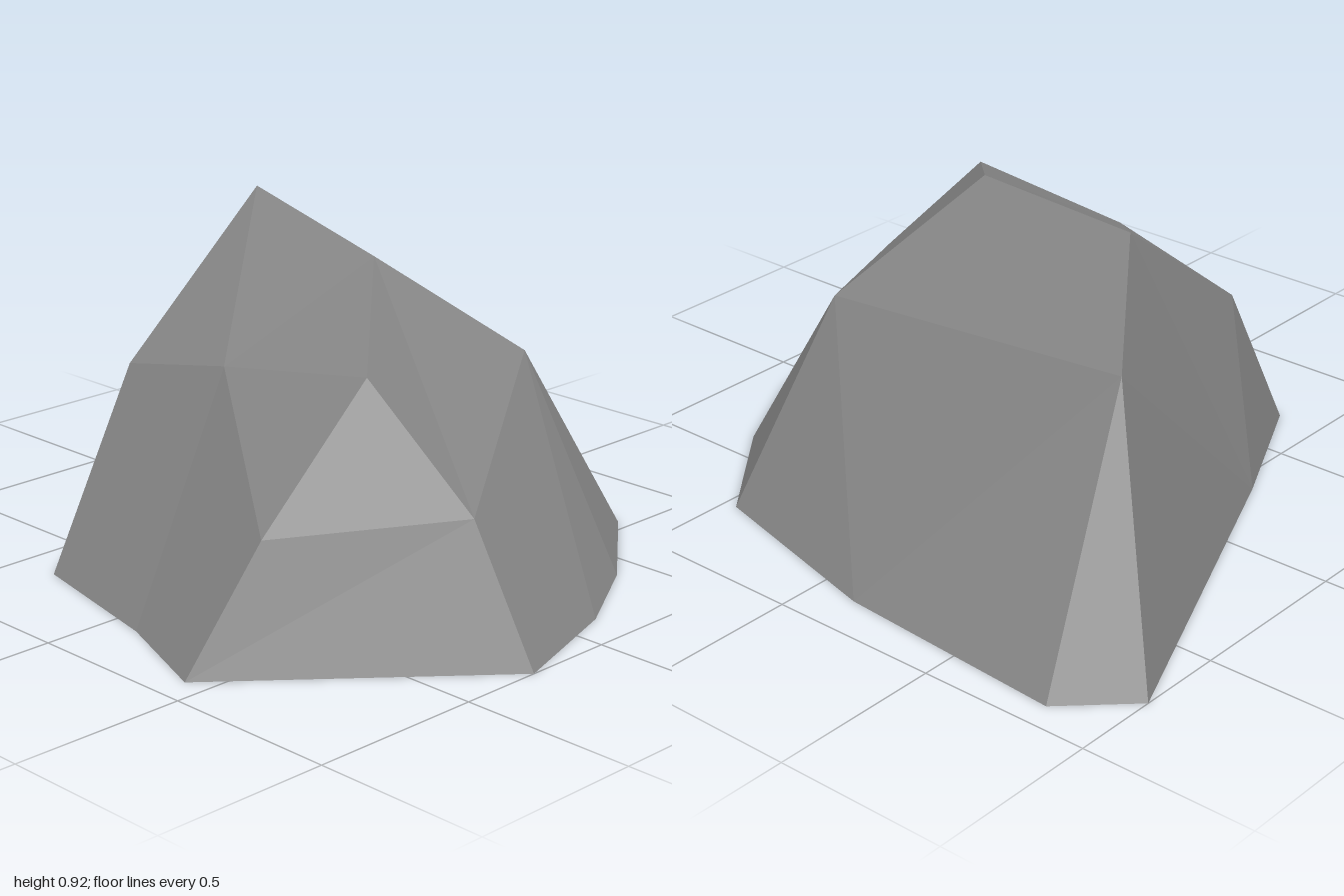
import * as THREE from 'three';

// Ground outline, seen from above as [x, z]
const outline = [
  [-1, -0.75], [-0.82, -0.92], [-0.13, -0.87], [0.46, -0.72], [0.72, -0.4], [0.88, -0.12],
  [1, 0.26], [0.43, 0.915], [0.1, 0.79], [-0.36, 0.69], [-0.56, 0.28],
];

// Corners above the ground
const corners = {
  peak: [-0.49, 0.915, -0.2],
  crest: [0.14, 0.855, -0.04],
  shoulder: [0.5, 0.68, 0.35],
  side: [0.8, 0.36, 0.27],
  ridge: [-0.69, 0.68, -0.48],
  frontRight: [-0.41, 0.52, 0.36],
  brow: [0.01, 0.61, 0.39],
  back: [0.36, 0.56, -0.41],
  frontLeft: [0.47, 0.325, 0.69],
};
outline.forEach(([x, z], i) => { corners[i] = [x, 0, z]; });
corners.centre = [0, 0, 0];

// Each facet is a fan of triangles around its first corner
const facets = [
  'back crest peak ridge', 'crest shoulder side back', 'peak frontRight brow crest', 'brow shoulder crest',
  'ridge back 2 1', 'back 3 2', 'back side 5 4 3', 'side 6 5',
  'side shoulder frontLeft 7 6',
  'brow frontLeft shoulder', '8 7 frontLeft brow frontRight 9',
  '10 9 frontRight peak ridge 0', 'ridge 1 0',
];

// Flat underside
outline.forEach((_, i) => facets.push(`centre ${i} ${(i + 1) % outline.length}`));

function rockGeometry() {
  const inside = new THREE.Vector3(0, 0.3, 0);
  const positions = [];
  for (const facet of facets) {
    const p = facet.split(' ').map((name) => new THREE.Vector3(...corners[name]));
    for (let i = 1; i < p.length - 1; i++) {
      const tri = [p[0], p[i], p[i + 1]];
      // Turn every triangle outward
      const normal = new THREE.Triangle(...tri).getNormal(new THREE.Vector3());
      if (normal.dot(p[0].clone().sub(inside)) < 0) tri.reverse();
      tri.forEach((v) => positions.push(v.x, v.y, v.z));
    }
  }
  const geometry = new THREE.BufferGeometry();
  geometry.setAttribute('position', new THREE.Float32BufferAttribute(positions, 3));
  geometry.computeVertexNormals();
  return geometry;
}

export function createModel() {
  const stone = new THREE.MeshStandardMaterial({ color: 0x888888 });
  stone.name = 'stone grey';
  const rock = new THREE.Mesh(rockGeometry(), stone);
  rock.name = 'rock';
  const group = new THREE.Group();
  group.name = 'boulder';
  group.add(rock);
  return group;
}
